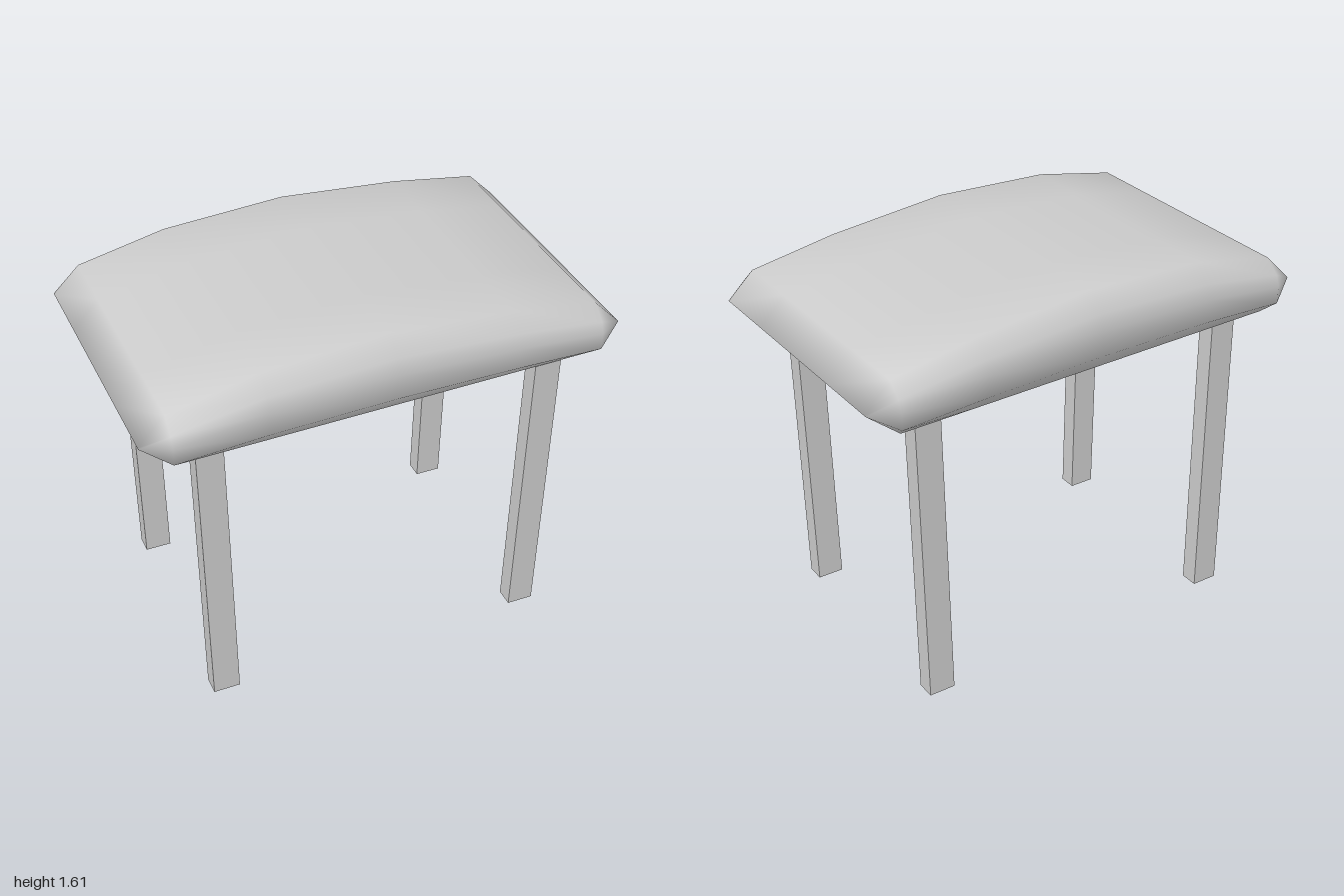
import * as THREE from 'three';
import { mergeVertices } from 'three/addons/utils/BufferGeometryUtils.js';

const material = new THREE.MeshStandardMaterial({ color: 0xcccccc, side: THREE.DoubleSide });
const BASE = 1.28, END = 0.555;

// Half cross-section of the cushion: [half depth, fraction of height]
const half = [[END, 0], [0.62, 0.24], [0.622, 0.56], [0.605, 0.76], [0.545, 1], [0.27, 1]];
const section = [...half, [0, 1], ...half.slice().reverse().map(([z, t]) => [-z, t])];

// Stations along the length: [x, top height, is it a flat end line]
const stations = [
  [-0.86, BASE, true], [-1, 1.395, true], [-0.89, 1.508], [-0.52, 1.585], [0, 1.612],
  [0.52, 1.565], [0.89, 1.505], [1, 1.395, true], [0.86, BASE, true],
];

// Domed cushion shell, slightly skewed and open underneath
function makeCushion() {
  const positions = [], index = [], n = section.length;
  for (const [x, top, flat] of stations) {
    for (const [z, t] of section) {
      const y = flat ? top : BASE + (top - BASE) * t;
      const px = t === 0 && !flat ? THREE.MathUtils.clamp(x, -0.86, 0.86) : x;
      const pz = flat ? THREE.MathUtils.clamp(z, -END, END) : z;
      positions.push(px, y, pz - 0.023 * px);
    }
  }
  for (let i = 0; i < stations.length - 1; i++) {
    for (let j = 0; j < n - 1; j++) {
      const a = i * n + j, b = a + n;
      index.push(a, b, a + 1, b, b + 1, a + 1);
    }
  }
  let geometry = new THREE.BufferGeometry();
  geometry.setAttribute('position', new THREE.Float32BufferAttribute(positions, 3));
  geometry.setIndex(index);
  geometry = mergeVertices(geometry, 1e-4);
  geometry.computeVertexNormals();
  const mesh = new THREE.Mesh(geometry, material);
  mesh.name = 'cushion';
  return mesh;
}

// Square-cut leg leaning from its foot to its top inside the cushion
function makeLeg(name, foot, top) {
  const height = 1.5;
  const geometry = new THREE.BoxGeometry(0.112, height, 0.078).translate(0, height / 2, 0);
  const p = geometry.attributes.position;
  for (let i = 0; i < p.count; i++) {
    const t = p.getY(i) / BASE;
    p.setX(i, p.getX(i) + foot[0] + (top[0] - foot[0]) * t);
    p.setZ(i, p.getZ(i) + foot[1] + (top[1] - foot[1]) * t);
  }
  geometry.computeVertexNormals();
  const mesh = new THREE.Mesh(geometry, material);
  mesh.name = name;
  return mesh;
}

export function createModel() {
  const group = new THREE.Group();
  group.name = 'stool';
  group.add(
    makeCushion(),
    makeLeg('frontLeftLeg', [0.672, 0.477], [0.697, 0.494]),
    makeLeg('backLeftLeg', [0.686, -0.491], [0.711, -0.476]),
    makeLeg('frontRightLeg', [-0.694, 0.478], [-0.72, 0.493]),
    makeLeg('backRightLeg', [-0.676, -0.476], [-0.7, -0.458]),
  );
  return group;
}
